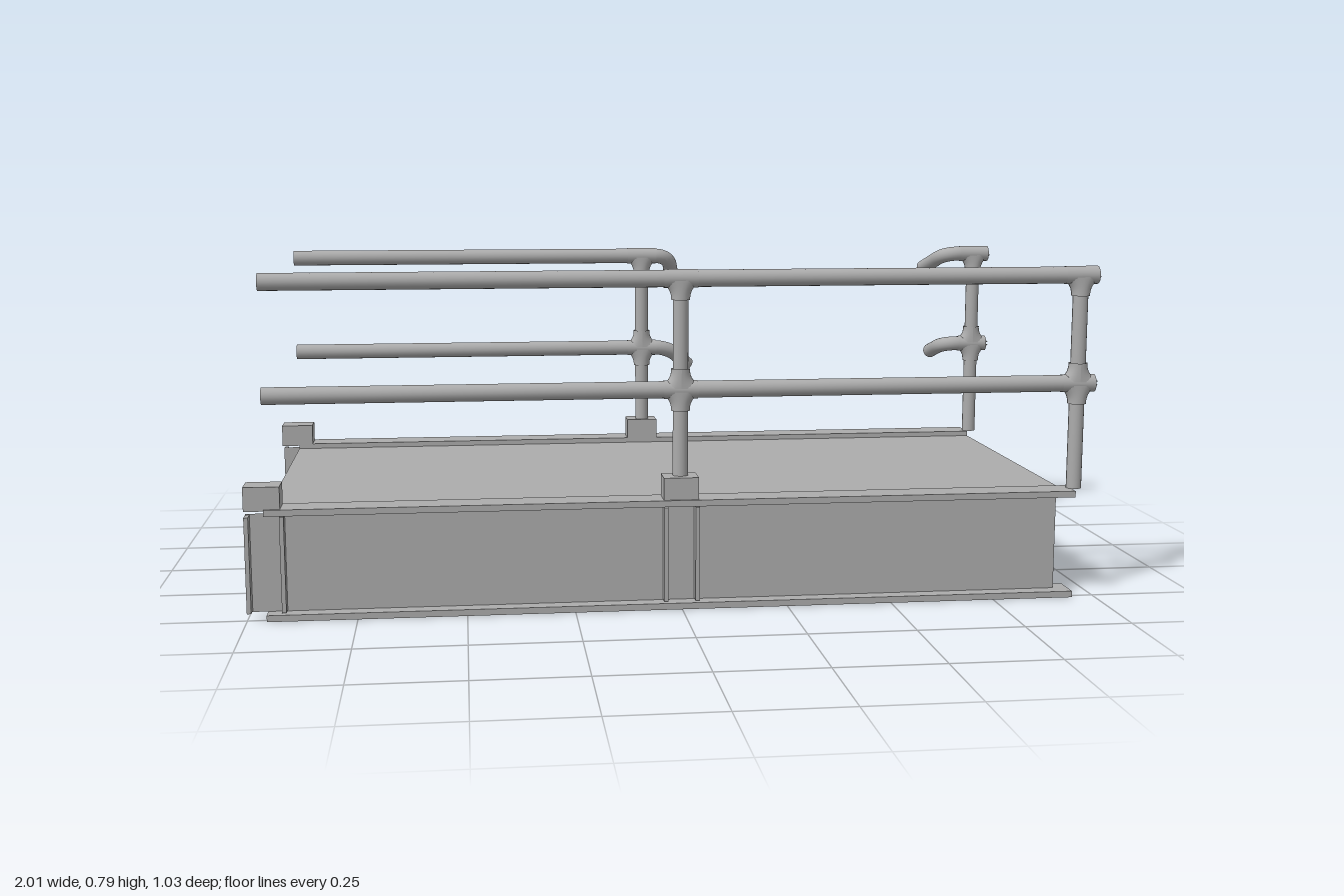
import * as THREE from 'three';

const steel = new THREE.MeshStandardMaterial({ color: 0xacacac, side: THREE.DoubleSide });
steel.name = 'grey steel';

const RAIL_HEIGHTS = [0.772, 0.514];
const R = 0.02;
const v = (x, y, z) => new THREE.Vector3(x, y, z);

function add(parent, name, geometry, x = 0, y = 0, z = 0) {
  const mesh = new THREE.Mesh(geometry, steel);
  mesh.name = name;
  mesh.position.set(x, y, z);
  parent.add(mesh);
  return mesh;
}

// Box given by its extents
function box(parent, name, x0, x1, y0, y1, z0, z1) {
  return add(parent, name, new THREE.BoxGeometry(x1 - x0, y1 - y0, z1 - z0),
    (x0 + x1) / 2, (y0 + y1) / 2, (z0 + z1) / 2);
}

// Disc closing a pipe end, facing along dir
function cap(parent, point, dir) {
  const disc = add(parent, 'pipeEnd', new THREE.CircleGeometry(R, 20), point.x, point.y, point.z);
  disc.lookAt(point.clone().add(dir));
}

// Straight pipe with open ends
function pipe(parent, name, a, b, r = R) {
  const mesh = add(parent, name, new THREE.CylinderGeometry(r, r, a.distanceTo(b), 20, 1, true));
  mesh.position.copy(a).add(b).multiplyScalar(0.5);
  mesh.quaternion.setFromUnitVectors(v(0, 1, 0), b.clone().sub(a).normalize());
}

// Pipe that runs straight, rounds a bend and stops at a closed end
function bentPipe(parent, name, start, corner, end) {
  const inward = corner.clone().lerp(start, 0.045 / corner.distanceTo(start));
  const outward = corner.clone().lerp(end, Math.min(0.6, 0.045 / corner.distanceTo(end)));
  const bend = new THREE.QuadraticBezierCurve3(inward, corner, outward);
  const path = new THREE.CurvePath();
  path.add(new THREE.LineCurve3(start, inward));
  path.add(bend);
  path.add(new THREE.LineCurve3(outward, end));
  const segments = Math.ceil(path.getLength() / 0.01);
  add(parent, name, new THREE.TubeGeometry(path, segments, R, 20));
  cap(parent, start, start.clone().sub(corner));
  cap(parent, end, end.clone().sub(corner));
}

// Post collar that widens along the rail in a concave fillet
function flare(parent, x, railY, z, direction) {
  const height = 0.045;
  const g = new THREE.CylinderGeometry(0.022, 0.022, height, 24, 8, true);
  const p = g.attributes.position;
  for (let i = 0; i < p.count; i++) {
    const t = Math.max(0, 0.5 - p.getY(i) / height);
    p.setX(i, p.getX(i) * (1 + 1.3 * Math.pow(t, 2.5)));
  }
  g.computeVertexNormals();
  const mesh = add(parent, 'fittingFlare', g, x, railY + direction * (height / 2 + 0.004), z);
  if (direction < 0) mesh.rotation.x = Math.PI;
}

// Upright with a fitting at each rail
function post(parent, x, z) {
  const group = new THREE.Group();
  group.name = 'post';
  parent.add(group);
  pipe(group, 'postTube', v(x, 0.26, z), v(x, RAIL_HEIGHTS[0], z), 0.018);
  RAIL_HEIGHTS.forEach((y, i) => {
    pipe(group, 'fittingSleeve', v(x - 0.04, y, z), v(x + 0.04, y, z), 0.0215);
    flare(group, x, y, z, -1);
    if (i === 1) flare(group, x, y, z, 1);
  });
}

// Flange strip, open at both ends
function flange(parent, name, y0, y1, z) {
  const g = box(parent, name, -0.955, 0.945, y0, y1, z - 0.037, z + 0.037).geometry;
  g.setIndex(Array.from(g.index.array).slice(12));
  g.clearGroups();
}

// Side beam with web, flanges, stiffeners and post sockets
function beam(parent, name, z, outward, postZ) {
  const group = new THREE.Group();
  group.name = name;
  parent.add(group);
  add(group, 'web', new THREE.PlaneGeometry(1.91, 0.23), -0.045, 0.13, z);
  flange(group, 'topFlange', 0.245, 0.26, z);
  flange(group, 'bottomFlange', 0, 0.015, z);
  for (const x of [-0.995, -0.916, -0.037, 0.037]) {
    const zs = [z, z + outward * 0.03].sort((a, b) => a - b);
    box(group, 'stiffener', x - 0.005, x + 0.005, 0.018, 0.242, zs[0], zs[1]);
  }
  for (const x of [-0.959, -0.002]) {
    box(group, 'socketBlock', x - 0.041, x + 0.041, 0.256, 0.312, postZ - 0.032, postZ + 0.032);
  }
}

export function createModel() {
  const model = new THREE.Group();
  model.name = 'walkwayBridge';
  const frontZ = 0.471, backZ = -0.387;

  // Deck between the two beams
  const deck = add(model, 'deck', new THREE.PlaneGeometry(1.9, 0.88), -0.005, 0.247, 0.038);
  deck.rotation.x = -Math.PI / 2;

  beam(model, 'frontBeam', 0.478, 1, 0.477);
  beam(model, 'backBeam', -0.402, -1, -0.393);

  // Front railing, continuous
  const front = new THREE.Group();
  front.name = 'frontRailing';
  model.add(front);
  RAIL_HEIGHTS.forEach((y, i) => {
    const a = v(-0.955, y, frontZ), b = v(0.995, y, frontZ);
    pipe(front, 'rail', a, b);
    if (i === 1) {
      cap(front, a, v(-1, 0, 0));
      cap(front, b, v(1, 0, 0));
    }
  });
  for (const x of [0, 0.955]) post(front, x, frontZ);

  // Back railing, with a gap whose rail ends turn outward and down
  const back = new THREE.Group();
  back.name = 'backRailing';
  model.add(back);
  const longEnds = [v(0.09, 0.724, -0.447), v(0.135, 0.459, -0.432)];
  const shortEnds = [v(0.843, 0.725, -0.51), v(0.863, 0.482, -0.488)];
  RAIL_HEIGHTS.forEach((y, i) => {
    bentPipe(back, 'longRail', v(-0.955, y, backZ), v(0.075, y, backZ), longEnds[i]);
    bentPipe(back, 'shortRail', v(0.995, y, backZ), v(0.872, y, backZ), shortEnds[i]);
  });
  for (const x of [0, 0.955]) post(back, x, backZ);

  return model;
}
